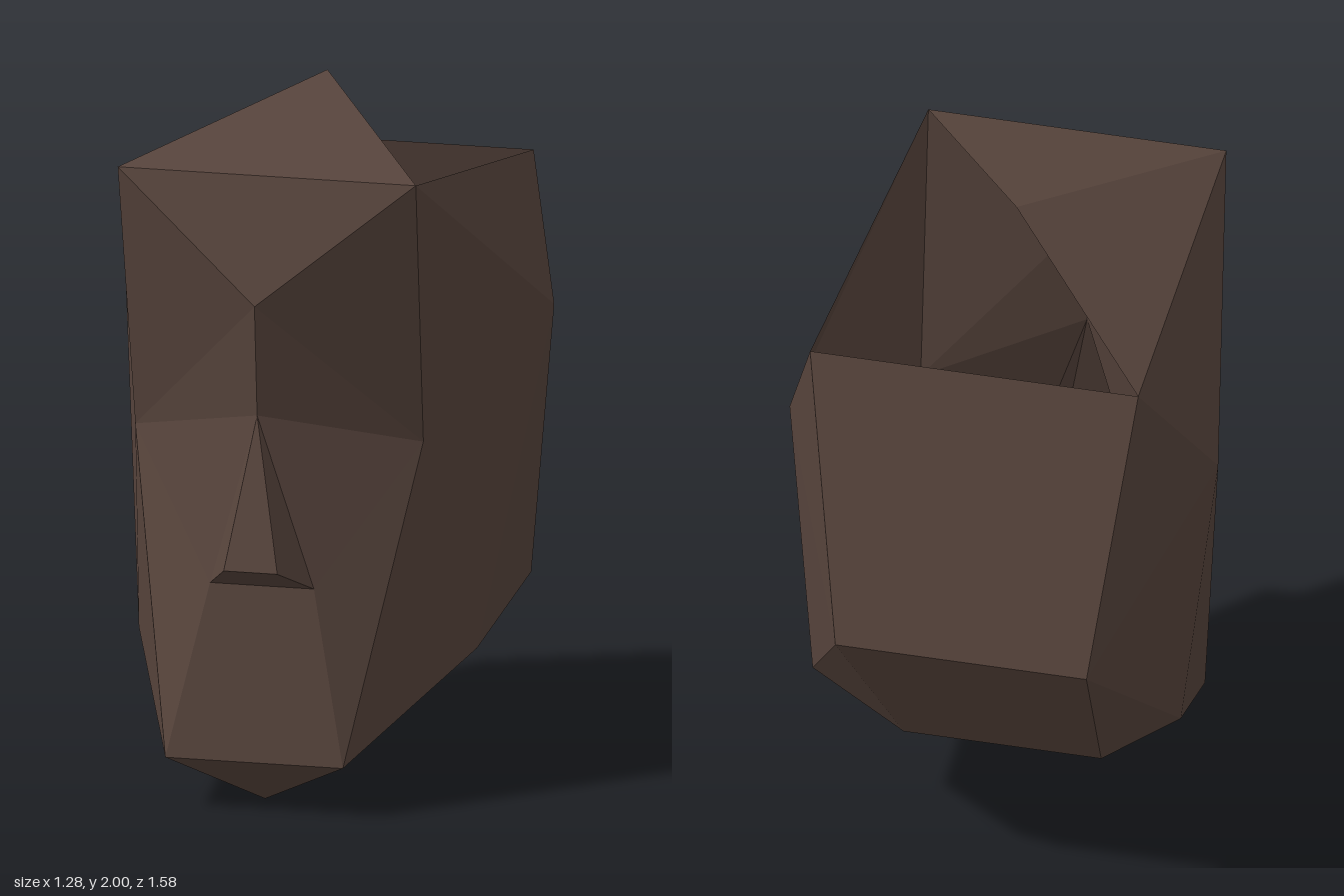
import * as THREE from 'three';

// Control points: [half width, y, z, sideways shift]; each serves both sides.
const P = {
  apex: [0, 2, -0.15],
  rimFront: [0.445, 1.85, 0.55, 0.005],
  rimBack: [0.49, 1.69, -0.585, 0.01],
  forehead: [0, 1.49, 0.67],
  temple: [0.64, 1.31, -0.29],
  bridge: [0, 1.16, 0.64],
  cheek: [0.43, 1.05, 0.39],
  noseTip: [0.08, 0.73, 0.79, 0.02],
  nostril: [0.155, 0.66, 0.66, 0.02],
  chin: [0.265, 0.15, 0.73, 0.015],
  chinBase: [0, 0, 0.55],
  jaw: [0.505, 0.36, 0.05, -0.005],
  nape: [0.55, 0.49, -0.37],
  skullBack: [0.375, 0.84, -0.79, -0.005],
  neckBack: [0.295, 0.43, -0.55, -0.065],
  neckSide: [0.4, 0.33, 0.07],
  throat: [0, 0.13, 0.3],
};

// A leading '-' takes the opposite side of the control point.
function point(name, side) {
  const flip = name[0] === '-';
  const [w, y, z, shift = 0] = P[flip ? name.slice(1) : name];
  return new THREE.Vector3(w * side * (flip ? -1 : 1) + shift, y, z);
}

// Builds polygons as flat fans, each triangle turned away from the head's middle.
function panels(name, material, polygons, sides) {
  const middle = new THREE.Vector3(0, 1, 0);
  const positions = [];
  for (const side of sides) {
    for (const polygon of polygons) {
      const pts = polygon.split(' ').map((n) => point(n, side));
      for (let i = 1; i < pts.length - 1; i++) {
        const tri = new THREE.Triangle(pts[0], pts[i], pts[i + 1]);
        const normal = tri.getNormal(new THREE.Vector3());
        const out = tri.getMidpoint(new THREE.Vector3()).sub(middle);
        const order = normal.dot(out) > 0 ? [tri.a, tri.b, tri.c] : [tri.a, tri.c, tri.b];
        for (const v of order) positions.push(v.x, v.y, v.z);
      }
    }
  }
  const geometry = new THREE.BufferGeometry();
  geometry.setAttribute('position', new THREE.Float32BufferAttribute(positions, 3));
  geometry.computeVertexNormals();
  const mesh = new THREE.Mesh(geometry, material);
  mesh.name = name;
  return mesh;
}

export function createModel() {
  const skin = new THREE.MeshStandardMaterial({ color: 0x57443c, side: THREE.DoubleSide });
  skin.name = 'darkBrownSkin';

  const both = [1, -1];
  const head = new THREE.Group();
  head.name = 'head';

  head.add(
    // Crown covers only the front and the right side; the rest is open
    panels('crownFront', skin, ['apex rimFront -rimFront'], [1]),
    panels('crownRight', skin, ['apex rimFront rimBack'], [-1]),
    // Brow and eye region
    panels('foreheadCentre', skin, ['forehead rimFront -rimFront'], [1]),
    panels('brow', skin, ['forehead rimFront cheek', 'forehead cheek bridge'], both),
    // Nose
    panels('noseSide', skin, ['bridge noseTip nostril'], both),
    panels('noseFront', skin, ['bridge noseTip -noseTip', 'noseTip -noseTip -nostril nostril'], [1]),
    // Cheeks, mouth and chin
    panels('cheeks', skin, ['bridge nostril cheek', 'cheek nostril chin', 'cheek chin jaw'], both),
    panels('mouth', skin, ['nostril -nostril -chin chin', 'chin -chin chinBase'], [1]),
    // Sides of the skull
    panels('skullSide', skin, [
      'rimFront rimBack temple', 'rimFront temple cheek', 'cheek temple jaw',
      'temple nape jaw', 'rimBack skullBack temple', 'temple skullBack nape',
    ], both),
    // Back of the skull
    panels('skullRear', skin, [
      'rimBack -rimBack -skullBack skullBack', 'skullBack -skullBack -neckBack neckBack',
    ], [1]),
    // Underside around the open neck
    panels('underside', skin, [
      'skullBack nape neckBack', 'nape jaw neckSide', 'nape neckSide neckBack',
      'jaw chin chinBase', 'jaw chinBase throat', 'jaw throat neckSide',
    ], both),
  );

  const model = new THREE.Group();
  model.name = 'model';
  model.add(head);
  return model;
}
